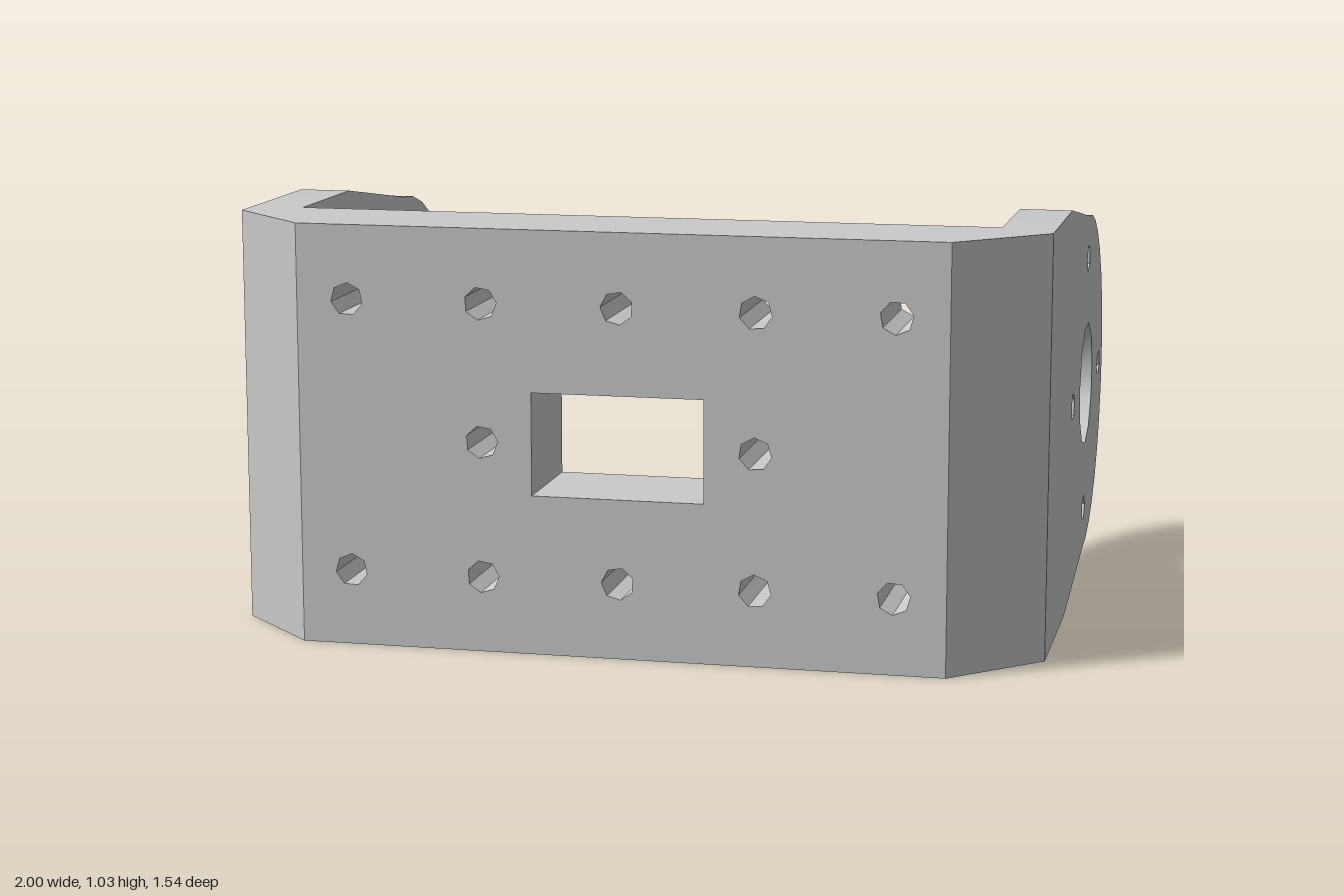
import * as THREE from 'three';
import { toCreasedNormals } from 'three/addons/utils/BufferGeometryUtils.js';

const H = 1.03, MID = 0.515;      // bracket height and its middle
const INNER = 0.87, BEND = 0.79;  // inner face of the arms, start of the chamfer
const BACK = 0.485, FRONT = 0.77, CHAMFER_Z = 0.567;

const shapeOf = (pts) => new THREE.Shape(pts.map(([x, y]) => new THREE.Vector2(x, y)));

// Low-poly round hole
function hole(x, y, r, sides, turn) {
  const pts = [];
  for (let i = 0; i < sides; i++) {
    const a = turn + (i / sides) * Math.PI * 2;
    pts.push(new THREE.Vector2(x + r * Math.cos(a), y + r * Math.sin(a)));
  }
  return new THREE.Path(pts);
}

const extrude = (shape, depth) =>
  new THREE.ExtrudeGeometry(shape, { depth, bevelEnabled: false, steps: 1 });

// Drops the hidden faces where two parts meet (tested at each face's centre), then sharpens the edges
function finish(geometry, isSeam) {
  const p = geometry.attributes.position;
  const kept = [];
  for (let i = 0; i < p.count; i += 3) {
    const [a, b, c] = [0, 1, 2].map((k) => new THREE.Vector3().fromBufferAttribute(p, i + k));
    const centre = a.clone().add(b).add(c).divideScalar(3);
    if (!isSeam(centre)) for (const v of [a, b, c]) kept.push(v.x, v.y, v.z);
  }
  const out = new THREE.BufferGeometry();
  out.setAttribute('position', new THREE.Float32BufferAttribute(kept, 3));
  return toCreasedNormals(out, 0.7);
}

const near = (a, b) => Math.abs(a - b) < 1e-4;

// Front plate with the bolt pattern and the rectangular slot
function frontPlateGeometry() {
  const plate = shapeOf([[-BEND, 0], [BEND, 0], [BEND, H], [-BEND, H]]);
  for (const x of [-0.665, -0.333, 0, 0.333, 0.665])
    for (const y of [0.185, 0.85]) plate.holes.push(hole(x, y, 0.04, 7, 0.4 + x));
  for (const x of [-0.333, 0.333]) plate.holes.push(hole(x, MID, 0.04, 7, 0.4 + x));
  plate.holes.push(shapeOf([[-0.21, 0.39], [-0.21, 0.64], [0.21, 0.64], [0.21, 0.39]]));
  const g = extrude(plate, FRONT - BACK).translate(0, 0, BACK);
  return finish(g, (c) => near(Math.abs(c.x), BEND));
}

// Chamfered corner joining the plate to an arm
function cornerGeometry(side) {
  const outline = [[BEND, BACK], [BEND, FRONT], [1, CHAMFER_Z], [1, BACK], [INNER, BACK]];
  const g = extrude(shapeOf(outline.map(([x, z]) => [side * x, -z])), H).rotateX(-Math.PI / 2);
  return finish(g, (c) => near(Math.abs(c.x), BEND) ||
    (near(c.z, BACK) && Math.abs(c.x) > INNER));
}

// Side arm: tapers to a rounded end around a large opening
function armGeometry(side) {
  const cx = 0.328, r = 0.444;
  const pts = [[-BACK, H], [-BACK, 0], [-0.13, 0]];
  for (let i = 0; i <= 16; i++) {
    const a = THREE.MathUtils.degToRad(-90 + (180 * i) / 16);
    pts.push([cx + r * Math.cos(a), MID + r * Math.sin(a)]);
  }
  pts.push([-0.13, H]);
  const arm = shapeOf(pts);
  arm.holes.push(hole(cx, MID, 0.161, 11, 0.2));
  for (let i = 0; i < 4; i++) {
    const a = (i * Math.PI) / 2;
    arm.holes.push(hole(cx + 0.335 * Math.cos(a), MID + 0.335 * Math.sin(a), 0.036, 5, 0.9 + i));
  }
  const g = extrude(arm, 1 - INNER).rotateY(Math.PI / 2)
    .translate(side > 0 ? INNER : -1, 0, 0);
  return finish(g, (c) => near(c.z, BACK));
}

export function createModel() {
  const bracket = new THREE.Group();
  bracket.name = 'bracket';
  const metal = new THREE.MeshStandardMaterial({ color: 0xcacaca });
  metal.name = 'grey metal';

  const add = (name, geometry) => {
    const mesh = new THREE.Mesh(geometry, metal);
    mesh.name = name;
    bracket.add(mesh);
  };

  add('frontPlate', frontPlateGeometry());
  for (const [label, side] of [['left', 1], ['right', -1]]) {
    add(label + 'Corner', cornerGeometry(side));
    add(label + 'Arm', armGeometry(side));
  }
  return bracket;
}
